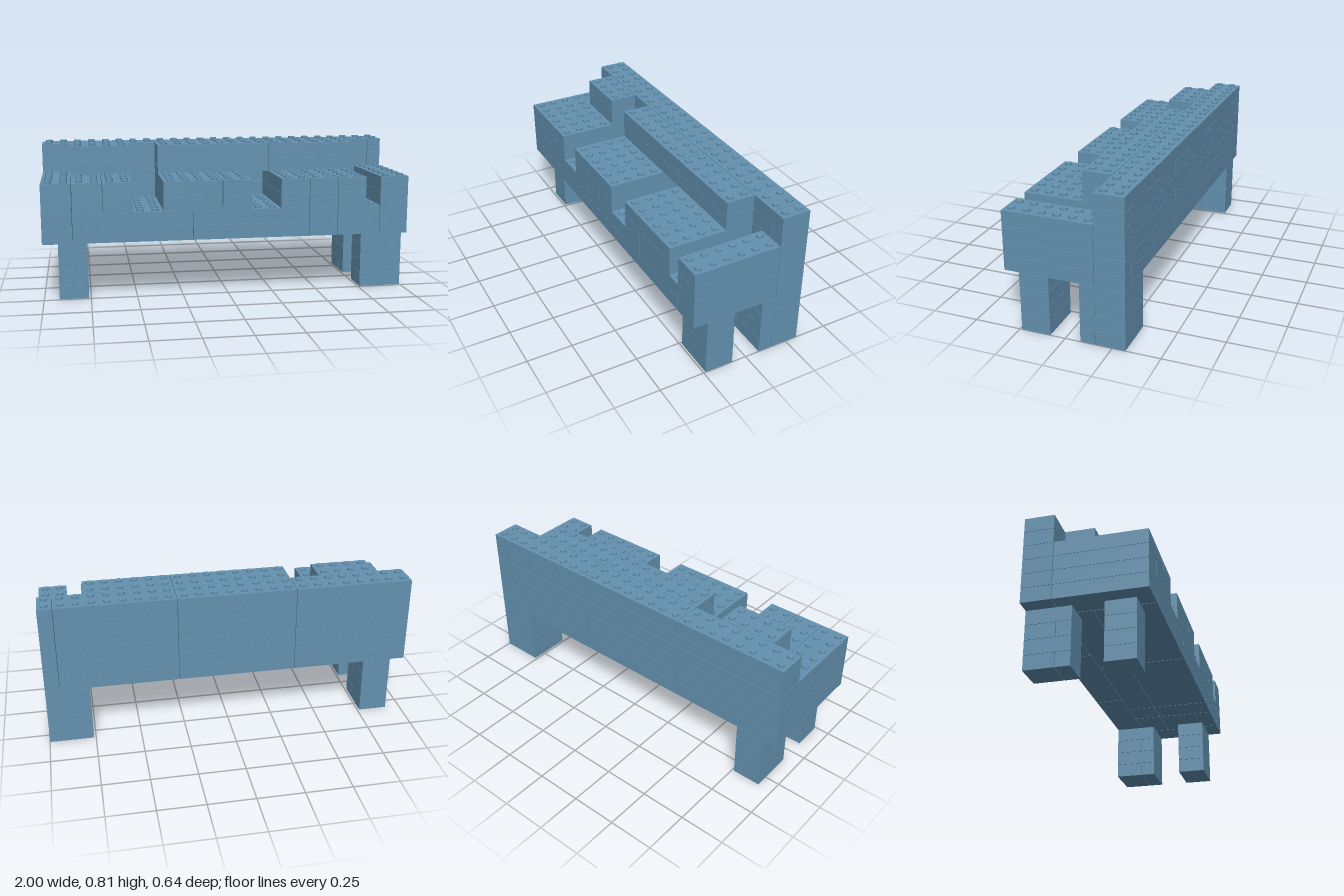
import * as THREE from 'three';
import { mergeGeometries } from 'three/addons/utils/BufferGeometryUtils.js';

const U = 0.08;      // stud pitch and brick height
const GAP = 0.0015;  // clearance on every brick side
const X0 = -1, Z0 = -0.32;

// Each part: x cuts and z cuts in stud units (from left end and from back), plus its layers.
const PARTS = [
  { name: 'frontLegRight', x: [1, 3], z: [5, 7], layers: [0, 1, 2, 3] },
  { name: 'frontLegLeft', x: [22, 25], z: [5, 7], layers: [0, 1, 2, 3] },
  { name: 'backLegRight', x: [1, 3], z: [0, 3], layers: [1, 3] },
  { name: 'backLegRight', x: [1, 3], z: [0, 2, 3], layers: [0, 2] },
  { name: 'backLegLeft', x: [22, 25], z: [0, 3], layers: [1, 3] },
  { name: 'backLegLeft', x: [22, 25], z: [0, 2, 3], layers: [0, 2] },
  { name: 'seatBaseEndRight', x: [0, 2], z: [2, 8], layers: [4, 5] },
  { name: 'seatBase', x: [2, 10, 18, 20, 23], z: [2, 4, 8], layers: [4, 5] },
  { name: 'seatBaseEndLeft', x: [23, 25], z: [2, 8], layers: [4, 5] },
  { name: 'backrest', x: [0, 8, 16, 24, 25], z: [0, 2], layers: [4, 5, 6, 7, 8, 9] },
  { name: 'armRight', x: [0, 2, 4, 6], z: [2, 8], layers: [6, 7] },
  { name: 'middleCushion', x: [8, 12, 14], z: [2, 8], layers: [6, 7] },
  { name: 'sideCushion', x: [16, 18, 20, 22], z: [2, 8], layers: [6, 7] },
  { name: 'armLeft', x: [23, 25], z: [2, 8], layers: [6, 7] },
  { name: 'smallBackCushion', x: [2, 6], z: [2, 4], layers: [8, 9] },
  { name: 'longBackCushion', x: [8, 16, 22], z: [2, 4], layers: [8, 9] },
];

// True when some part fills the given stud cell on a layer
const filled = (i, k, layer) => PARTS.some(p =>
  p.layers.includes(layer) &&
  i >= p.x[0] && i < p.x[p.x.length - 1] &&
  k >= p.z[0] && k < p.z[p.z.length - 1]);

function brick(xa, xb, za, zb, layer) {
  return new THREE.BoxGeometry((xb - xa) * U - 2 * GAP, U - GAP, (zb - za) * U - 2 * GAP)
    .translate(X0 + (xa + xb) / 2 * U, (layer + 0.5) * U + GAP / 2, Z0 + (za + zb) / 2 * U);
}

function stud(i, k, layer) {
  const h = 0.012;
  return new THREE.CylinderGeometry(0.019, 0.019, h, 16)
    .translate(X0 + (i + 0.5) * U, (layer + 1) * U + h / 2 - 0.001, Z0 + (k + 0.5) * U);
}

export function createModel() {
  const group = new THREE.Group();
  group.name = 'brickSofa';
  const blue = new THREE.MeshStandardMaterial({ color: 0x6391af });
  blue.name = 'dusty blue';

  for (const { name, x, z, layers } of PARTS) {
    const pieces = [];
    for (const layer of layers) {
      for (let a = 0; a + 1 < x.length; a++)
        for (let b = 0; b + 1 < z.length; b++)
          pieces.push(brick(x[a], x[a + 1], z[b], z[b + 1], layer));
      // studs wherever the top is open
      for (let i = x[0]; i < x[x.length - 1]; i++)
        for (let k = z[0]; k < z[z.length - 1]; k++)
          if (!filled(i, k, layer + 1)) pieces.push(stud(i, k, layer));
    }
    const mesh = new THREE.Mesh(mergeGeometries(pieces), blue);
    mesh.name = name;
    group.add(mesh);
  }
  return group;
}
